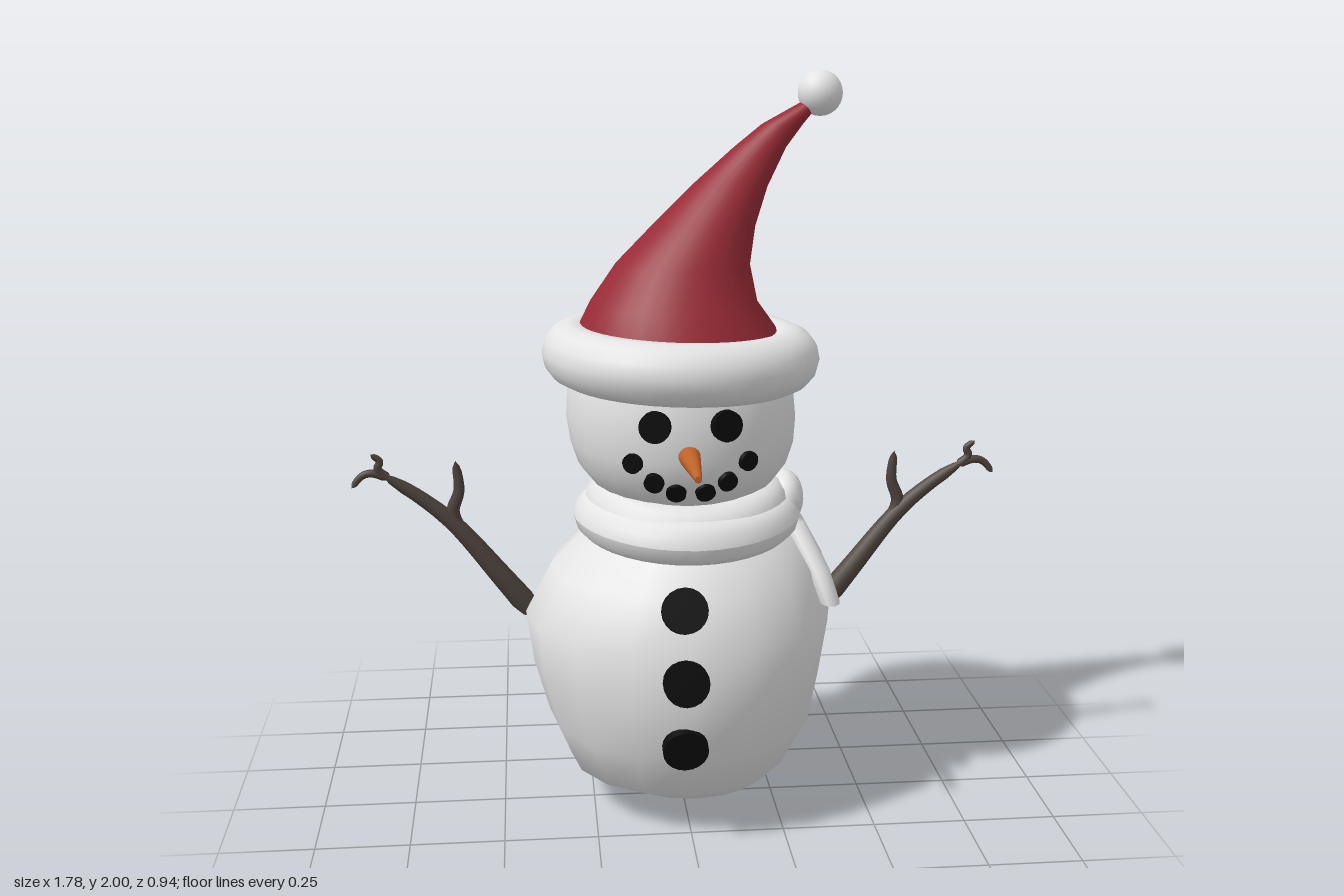
import * as THREE from 'three';

const mat = (name, color) => {
  const m = new THREE.MeshStandardMaterial({ color });
  m.name = name;
  return m;
};

// Closed solid through level ellipses; each ring is [y, x0, x1, z0, z1].
function loft(rings, segs) {
  const pos = [], index = [], n = rings.length;
  for (const [y, x0, x1, z0, z1] of rings) {
    for (let j = 0; j < segs; j++) {
      const a = (j / segs) * Math.PI * 2;
      pos.push((x0 + x1) / 2 + Math.cos(a) * (x1 - x0) / 2, y, (z0 + z1) / 2 + Math.sin(a) * (z1 - z0) / 2);
    }
  }
  for (const [y, x0, x1, z0, z1] of [rings[0], rings[n - 1]]) pos.push((x0 + x1) / 2, y, (z0 + z1) / 2);
  const bottom = n * segs, top = bottom + 1, last = (n - 1) * segs;
  for (let j = 0; j < segs; j++) {
    const k = (j + 1) % segs;
    for (let i = 0; i < n - 1; i++) {
      const a = i * segs + j, b = i * segs + k, c = a + segs, d = b + segs;
      index.push(a, c, b, b, c, d);
    }
    index.push(bottom, j, k, top, last + k, last + j);
  }
  const g = new THREE.BufferGeometry();
  g.setAttribute('position', new THREE.Float32BufferAttribute(pos, 3));
  g.setIndex(index);
  g.computeVertexNormals();
  return g;
}

// Tapered tube along points, closed to a rounded point at both ends.
function twig(points, r0, r1) {
  const curve = new THREE.CatmullRomCurve3(points.map(p => new THREE.Vector3(...p)));
  const steps = 16, sides = 8;
  const g = new THREE.TubeGeometry(curve, steps, 1, sides);
  const p = g.attributes.position, v = new THREE.Vector3();
  for (let i = 0; i <= steps; i++) {
    const t = i / steps, c = curve.getPointAt(t);
    const r = (r0 + (r1 - r0) * t) * Math.sqrt(Math.min(1, t * 9, (1 - t) * 9));
    for (let j = 0; j <= sides; j++) {
      const k = i * (sides + 1) + j;
      v.fromBufferAttribute(p, k).sub(c).multiplyScalar(r).add(c);
      p.setXYZ(k, v.x, v.y, v.z);
    }
  }
  return g;
}

export function createModel() {
  const root = new THREE.Group();
  root.name = 'snowman';
  const snow = mat('snow white', 0xe4e4e4);
  const red = mat('hat red', 0x982b36);
  const coal = mat('coal black', 0x0c0c0c);
  const orange = mat('carrot orange', 0xc0622a);
  const bark = mat('bark brown', 0x4b413b);

  const add = (name, geo, material, x = 0, y = 0, z = 0, parent = root) => {
    const m = new THREE.Mesh(geo, material);
    m.name = name;
    m.position.set(x, y, z);
    parent.add(m);
    return m;
  };

  // Snowballs
  add('body', loft([
    [0.005, 0, 0.17, -0.1, 0.02], [0.045, -0.17, 0.22, -0.19, 0.13], [0.12, -0.31, 0.29, -0.33, 0.26],
    [0.25, -0.37, 0.365, -0.465, 0.34], [0.4, -0.41, 0.39, -0.455, 0.37], [0.55, -0.43, 0.415, -0.43, 0.36],
    [0.68, -0.36, 0.37, -0.4, 0.3], [0.77, -0.26, 0.31, -0.35, 0.22], [0.83, -0.2, 0.2, -0.25, 0.15],
  ], 16), snow);
  add('head', loft([
    [0.86, -0.18, 0.18, -0.22, 0.12], [0.92, -0.24, 0.25, -0.29, 0.195], [0.97, -0.28, 0.285, -0.325, 0.235],
    [1.03, -0.3, 0.305, -0.345, 0.25], [1.1, -0.31, 0.31, -0.355, 0.257], [1.2, -0.305, 0.3, -0.35, 0.25],
    [1.29, -0.26, 0.26, -0.31, 0.21],
  ], 24), snow);

  // Hat: bent cone, fur brim and pompom
  add('hat', loft([
    [1.28, -0.29, 0.27, -0.32, 0.22], [1.33, -0.28, 0.255, -0.31, 0.21], [1.4, -0.245, 0.205, -0.27, 0.165],
    [1.5, -0.175, 0.185, -0.225, 0.1], [1.6, -0.075, 0.2, -0.2, 0.05], [1.7, 0.03, 0.235, -0.18, -0.015],
    [1.8, 0.145, 0.285, -0.16, -0.06], [1.86, 0.22, 0.33, -0.15, -0.075], [1.92, 0.33, 0.38, -0.135, -0.09],
  ], 28), red);
  const brim = add('hatBrim', new THREE.TorusGeometry(0.29, 0.081, 14, 40).rotateX(Math.PI / 2), snow, -0.002, 1.263, -0.04);
  brim.rotation.z = -0.03;
  add('pompom', new THREE.SphereGeometry(0.06, 20, 14), snow, 0.375, 1.94, -0.115);

  // Scarf: two sagging loops, knot and tails
  for (const [name, R, tube, y, sag] of [['scarfLower', 0.25, 0.06, 0.825, 0.012], ['scarfUpper', 0.222, 0.055, 0.873, 0.03]]) {
    const g = new THREE.TorusGeometry(R, tube, 12, 36).rotateX(Math.PI / 2);
    const p = g.attributes.position;
    for (let i = 0; i < p.count; i++) p.setY(i, p.getY(i) - sag * (p.getZ(i) / R) ** 2);
    g.computeVertexNormals();
    add(name, g, snow, 0.015, y, -0.04);
  }
  add('scarfKnot', new THREE.SphereGeometry(1, 16, 12).scale(0.052, 0.075, 0.085), snow, 0.283, 0.86, -0.035);
  add('scarfFrontTail', loft([
    [0.6, 0.36, 0.418, 0.06, 0.15], [0.68, 0.33, 0.395, 0.02, 0.1], [0.8, 0.27, 0.335, -0.04, 0.03],
  ], 10), snow);
  add('scarfBackTail', loft([
    [0.58, 0.385, 0.43, -0.165, -0.08], [0.68, 0.335, 0.4, -0.125, -0.06], [0.8, 0.27, 0.335, -0.09, -0.03],
  ], 10), snow);

  // Coal discs turned to face along a direction
  const up = new THREE.Vector3(0, 1, 0);
  const disc = (name, r, thick, [x, y, z], dir) => {
    const m = add(name, new THREE.CylinderGeometry(r, r, thick, 20), coal, x, y, z);
    m.quaternion.setFromUnitVectors(up, new THREE.Vector3(...dir).normalize());
  };
  disc('rightEye', 0.041, 0.025, [-0.093, 1.13, 0.243], [-0.09, 0, 0.29]);
  disc('leftEye', 0.041, 0.025, [0.088, 1.13, 0.243], [0.09, 0, 0.29]);
  for (const [x, y, z] of [[0.146, 1.03, 0.21], [0.093, 0.98, 0.22], [0.037, 0.953, 0.217]]) {
    for (const s of [-1, 1]) disc('mouthCoal', 0.026, 0.028, [s * x, y, z], [s * x, (y - 1.06) * 1.2, 0.27]);
  }
  disc('topButton', 0.06, 0.03, [-0.025, 0.665, 0.325], [0, 0.4, 1]);
  disc('middleButton', 0.06, 0.03, [-0.025, 0.485, 0.37], [0, 0.2, 1]);
  disc('bottomButton', 0.06, 0.03, [-0.025, 0.295, 0.346], [0, -0.25, 1]);

  // Carrot nose
  add('nose', new THREE.CylinderGeometry(0.009, 0.031, 0.25, 14).rotateX(Math.PI / 2), orange, -0.006, 1.052, 0.345);

  // Branch arms, built on the left and mirrored to the right
  for (const s of [1, -1]) {
    const arm = new THREE.Group();
    arm.name = s > 0 ? 'leftArm' : 'rightArm';
    root.add(arm);
    const path = pts => (s > 0 ? pts : pts.map(([x, y, z]) => [-x - 0.008, y, z]));
    add('branch', twig(path([[0.385, 0.51, -0.078], [0.48, 0.63, -0.08], [0.61, 0.785, -0.095], [0.7, 0.86, -0.105], [0.81, 0.932, -0.11]]), 0.036, 0.015), bark, 0, 0, 0, arm);
    add('sideTwig', twig(path([[0.59, 0.75, -0.092], [0.615, 0.82, -0.1], [0.597, 0.88, -0.105], [0.605, 0.96, -0.115]]), 0.022, 0.011), bark, 0, 0, 0, arm);
    add('upperFinger', twig(path([[0.785, 0.915, -0.11], [0.815, 0.945, -0.108], [0.808, 0.965, -0.108], [0.832, 0.985, -0.108]]), 0.014, 0.008), bark, 0, 0, 0, arm);
    add('lowerFinger', twig(path([[0.785, 0.918, -0.11], [0.83, 0.932, -0.11], [0.858, 0.925, -0.11], [0.887, 0.892, -0.108]]), 0.014, 0.008), bark, 0, 0, 0, arm);
  }
  return root;
}
